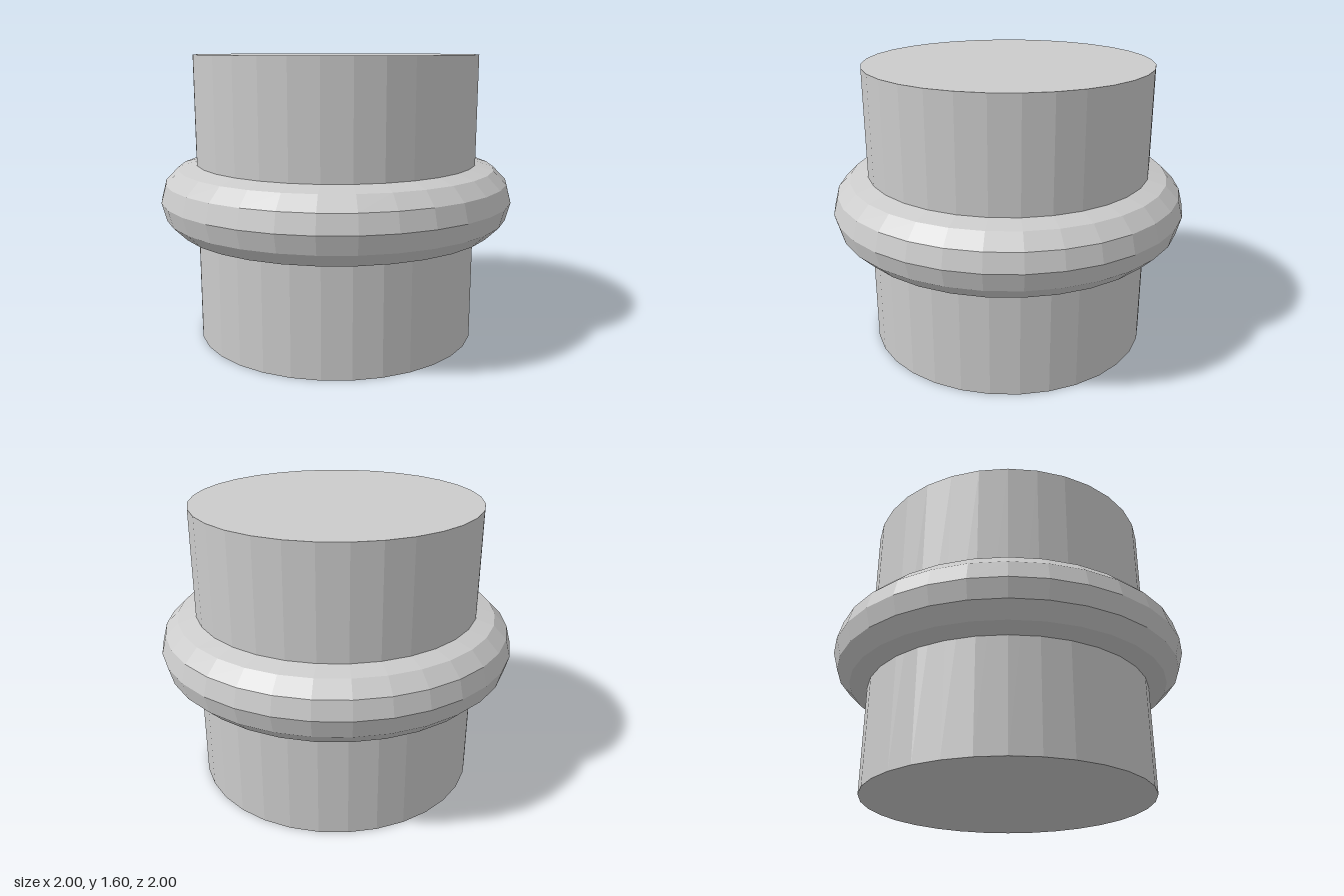
import * as THREE from 'three';

export function createModel() {
  const group = new THREE.Group();
  group.name = 'collaredCylinder';
  const material = new THREE.MeshStandardMaterial({ color: 0xcccccc, flatShading: true });

  // Solid drum standing on the ground
  const drum = new THREE.Mesh(new THREE.CylinderGeometry(0.8, 0.8, 1.6, 32), material);
  drum.name = 'drum';
  drum.position.y = 0.8;

  // Faceted ring around the middle
  const collar = new THREE.Mesh(new THREE.TorusGeometry(0.8, 0.2, 12, 32), material);
  collar.name = 'collar';
  collar.rotation.x = Math.PI / 2;
  collar.position.y = 0.8;

  group.add(drum, collar);
  return group;
}
